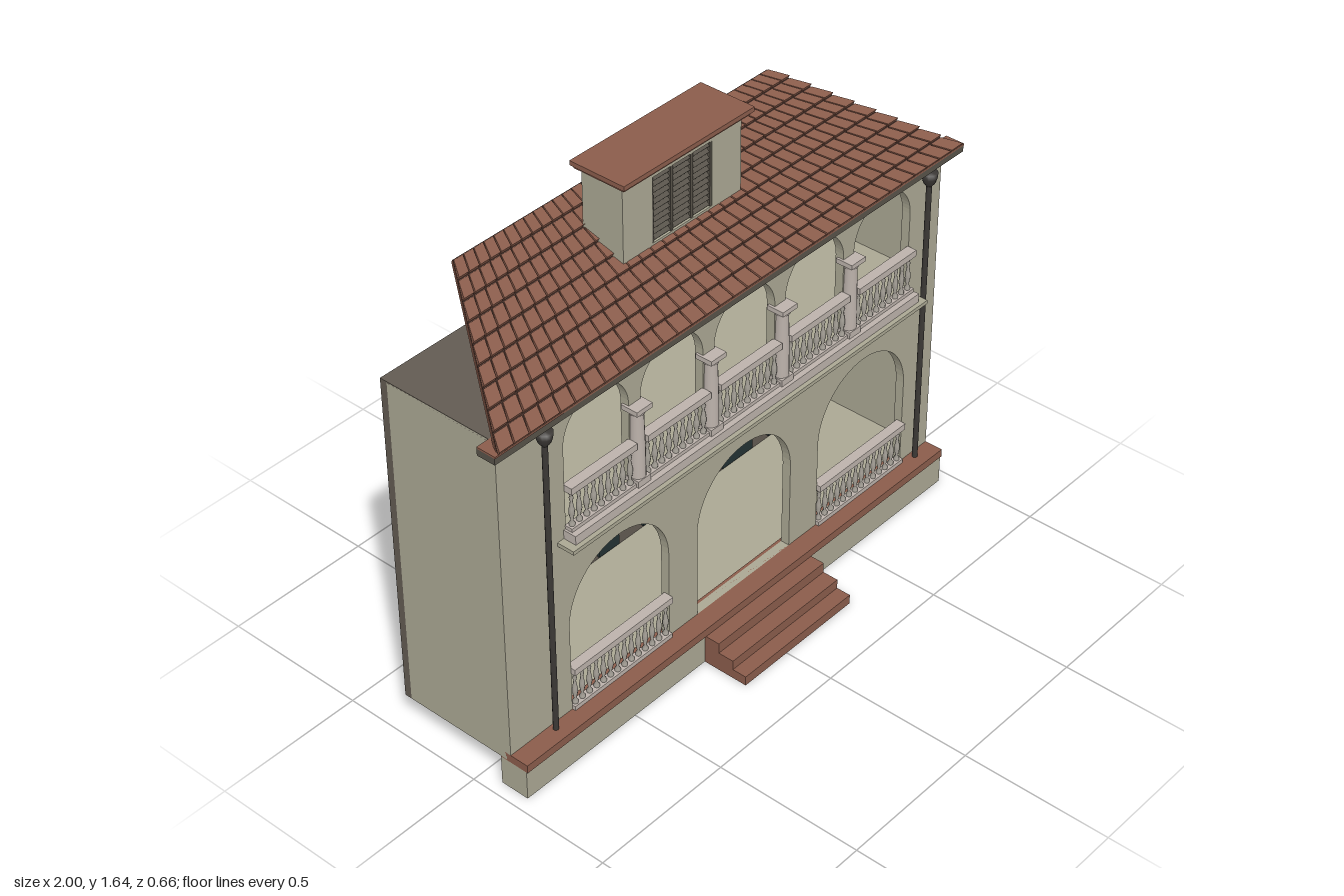
import * as THREE from 'three';
import { mergeGeometries } from 'three/addons/utils/BufferGeometryUtils.js';

const mat = (name, color) => {
  const m = new THREE.MeshStandardMaterial({ color });
  m.name = name;
  return m;
};

export function createModel() {
  const model = new THREE.Group();
  model.name = 'house';
  const stucco = mat('stucco', 0xaaa793);
  const darkWall = mat('shadedWall', 0x625b52);
  const terracotta = mat('terracotta', 0x8a5c4b);
  const gap = mat('tileGap', 0x3f2a23);
  const glass = mat('glass', 0x233133);
  const stone = mat('paleStone', 0xbcb2ab);
  const balusterStone = mat('balusterStone', 0xa5a097);
  const metal = mat('pipeMetal', 0x3b3835);
  const trim = mat('eaveTrim', 0x575249);

  const add = (name, geo, material, parent = model) => {
    const mesh = new THREE.Mesh(geo, material);
    mesh.name = name;
    parent.add(mesh);
    return mesh;
  };
  const group = (name) => {
    const g = new THREE.Group();
    g.name = name;
    model.add(g);
    return g;
  };
  // Box given by its limits on each axis
  const boxGeo = (x0, x1, y0, y1, z0, z1) =>
    new THREE.BoxGeometry(x1 - x0, y1 - y0, z1 - z0)
      .translate((x0 + x1) / 2, (y0 + y1) / 2, (z0 + z1) / 2);
  const box = (name, material, lim, parent) => add(name, boxGeo(...lim), material, parent);
  const rectangle = (x0, x1, y0, y1, C = THREE.Shape) => {
    const s = new C();
    s.moveTo(x0, y0);
    s.lineTo(x1, y0);
    s.lineTo(x1, y1);
    s.lineTo(x0, y1);
    s.closePath();
    return s;
  };
  const archHole = (x0, x1, y0, top) => {
    const r = (x1 - x0) / 2, p = new THREE.Path();
    p.moveTo(x0, y0);
    p.lineTo(x1, y0);
    p.lineTo(x1, top - r);
    p.absarc((x0 + x1) / 2, top - r, r, 0, Math.PI, false);
    p.lineTo(x0, y0);
    return p;
  };

  // Arcaded front wall
  const lowerArches = [[-0.70, -0.28], [-0.155, 0.27], [0.40, 0.82]];
  const columnX = [-0.415, -0.105, 0.207, 0.52];
  const upperEdges = [-0.725, ...columnX, 0.835];
  const facade = rectangle(-0.955, 0.955, 0.105, 1.25);
  lowerArches.forEach(([a, b]) => facade.holes.push(archHole(a, b, 0.13, 0.65)));
  for (let i = 0; i < 5; i++)
    facade.holes.push(archHole(upperEdges[i] + 0.024, upperEdges[i + 1] - 0.024, 0.81, 1.21));
  add('frontWall', new THREE.ExtrudeGeometry(facade, { depth: 0.03, bevelEnabled: false, curveSegments: 14 })
    .translate(0, 0, 0.08), stucco);

  // Shell of the building
  for (const s of [-1, 1])
    add('sideWall', boxGeo(-0.0125, 0.0125, 0.105, 1.25, -0.29, 0.08).translate(s * 0.9425, 0, 0), stucco);
  box('groundFloor', stucco, [-0.93, 0.93, 0.105, 0.125, -0.29, 0.08]);
  box('upperFloor', stucco, [-0.93, 0.93, 0.765, 0.785, -0.29, 0.08]);
  box('ceiling', darkWall, [-0.955, 0.955, 1.243, 1.252, -0.29, 0.11]);
  box('backWall', darkWall, [-0.955, 0.955, 0.105, 1.252, -0.315, -0.29]);

  // Tall windows set through the back wall
  const windows = group('windows');
  const lowerWindows = [[0.64, 0.77], [0.415, 0.56], [0.04, 0.187], [-0.16, -0.07],
    [-0.36, -0.285], [-0.56, -0.412], [-0.69, -0.615]];
  const upperWindows = [[0.545, 0.676], [0.393, 0.482], [0.243, 0.35], [-0.09, 0.05],
    [-0.388, -0.25], [-0.58, -0.446], [-0.687, -0.596]];
  lowerWindows.forEach(([a, b]) => box('lowerWindow', glass, [a, b, 0.135, 0.585, -0.325, -0.282], windows));
  upperWindows.forEach(([a, b]) => box('upperWindow', glass, [a, b, 0.79, 1.12, -0.325, -0.282], windows));

  // Plinth, terrace edge and entrance steps
  for (const [a, b] of [[-0.955, -0.19], [0.30, 0.955]])
    box('plinth', stucco, [a, b, 0, 0.102, 0.07, 0.17]);
  box('terraceEdge', terracotta, [-0.955, 0.955, 0.102, 0.13, 0.07, 0.175]);
  [0.33, 0.28, 0.225].forEach((z, i) =>
    box('step', terracotta, [-0.19, 0.30, i * 0.033, (i + 1) * 0.033 + (i === 2 ? 0.003 : 0), 0.07, z]));

  // Balustrades with turned balusters
  const lathe = (pts, seg) => new THREE.LatheGeometry(pts.map(([r, y]) => new THREE.Vector2(r, y)), seg);
  const balusterProfile = [[0.009, 0], [0.009, 0.012], [0.004, 0.02], [0.009, 0.045], [0.008, 0.06],
    [0.004, 0.085], [0.007, 0.1], [0.004, 0.105], [0.009, 0.115], [0.009, 0.125]];
  const balustrade = (x0, x1, y, z) => {
    const g = group('balustrade');
    box('bottomRail', stone, [x0, x1, y, y + 0.015, z - 0.014, z + 0.014], g);
    box('topRail', stone, [x0, x1, y + 0.135, y + 0.157, z - 0.017, z + 0.017], g);
    const n = Math.round((x1 - x0) / 0.03), parts = [];
    for (let i = 0; i < n; i++)
      parts.push(lathe(balusterProfile, 8).translate(x0 + ((i + 0.5) * (x1 - x0)) / n, y + 0.012, z));
    add('balusters', mergeGeometries(parts), balusterStone, g);
  };
  balustrade(-0.70, -0.28, 0.13, 0.108);
  balustrade(0.40, 0.82, 0.13, 0.108);
  for (let i = 0; i < 5; i++)
    balustrade(upperEdges[i] + 0.022, upperEdges[i + 1] - 0.022, 0.8, 0.122);

  // Balcony ledge
  box('balconyLedge', stucco, [-0.735, 0.84, 0.76, 0.773, 0.1, 0.17]);
  box('balconySlab', stone, [-0.71, 0.815, 0.773, 0.803, 0.1, 0.155]);

  // Upper columns with base and capital
  for (const x of columnX) {
    const g = group('column');
    g.position.set(x, 0, 0.118);
    add('shaft', lathe([[0.024, 0.82], [0.023, 0.93], [0.02, 1.04], [0.024, 1.045], [0.024, 1.052], [0.03, 1.06]], 16), stone, g);
    box('columnBase', stone, [-0.026, 0.026, 0.8, 0.825, -0.026, 0.026], g);
    box('capital', stone, [-0.032, 0.032, 1.057, 1.073, -0.03, 0.03], g);
  }

  // Rainwater pipes with funnel heads
  for (const x of [-0.79, 0.872]) {
    const g = group('downpipe');
    g.position.set(x, 0, 0.13);
    add('pipe', new THREE.CylinderGeometry(0.009, 0.009, 1.04, 10).translate(0, 0.65, 0), metal, g);
    add('funnel', lathe([[0.009, 1.155], [0.019, 1.168], [0.024, 1.185], [0.026, 1.203], [0, 1.203]], 12), metal, g);
  }

  // Eave
  box('eave', trim, [-1, 1, 1.225, 1.247, 0.09, 0.155]);
  box('eaveTop', terracotta, [-1, 1, 1.247, 1.253, 0.09, 0.157]);

  // Sloping roof: u runs -1..1 across, v 0..1 up the slope, h is height above it
  const roofPoint = (u, v, h) => [
    u * (0.99 - 0.335 * v),
    1.25 + 0.225 * v + 0.896 * h,
    0.155 - 0.48 * v + 0.443 * h,
  ];
  const faces = [[0, 1, 3, 2], [4, 6, 7, 5], [0, 4, 5, 1], [2, 3, 7, 6], [0, 2, 6, 4], [1, 5, 7, 3]];
  const slab = (u0, u1, v0, v1, bottom, lowTop, highTop) => {
    const c = [];
    for (const top of [0, 1])
      for (const v of [0, 1])
        for (const u of [u0, u1])
          c.push(roofPoint(u, v ? v1 : v0, top ? (v ? highTop : lowTop) : bottom));
    const pos = [];
    // each quad is listed clockwise, so it is emitted reversed
    for (const [a, b, d, e] of faces)
      for (const k of [a, e, d, a, d, b]) pos.push(...c[k]);
    const geo = new THREE.BufferGeometry();
    geo.setAttribute('position', new THREE.Float32BufferAttribute(pos, 3));
    geo.computeVertexNormals();
    return geo;
  };
  add('roofDeck', slab(-1, 1, 0, 1, -0.012, -0.002, -0.002), terracotta);
  add('tileBed', slab(-0.998, 0.998, 0.002, 0.998, -0.003, 0.001, 0.001), gap);
  const tiles = [], rows = 9, cols = 34;
  for (let r = 0; r < rows; r++)
    for (let c = 0; c < cols; c++) {
      const u = -1 + (2 * c) / cols, v = r / rows;
      tiles.push(slab(u + 0.003, u + 2 / cols - 0.003, v, v + 1 / rows - 0.008, 0, 0.014, 0.004));
    }
  add('roofTiles', mergeGeometries(tiles), terracotta);

  // Louvred dormer, open at the back
  const dormer = group('dormer');
  const front = rectangle(-0.255, 0.24, 1.365, 1.625);
  front.holes.push(rectangle(-0.135, 0.115, 1.375, 1.59, THREE.Path));
  add('dormerFront', new THREE.ExtrudeGeometry(front, { depth: 0.02, bevelEnabled: false })
    .translate(0, 0, -0.09), stucco, dormer);
  for (const x of [-0.255, 0.22])
    box('dormerSide', stucco, [x, x + 0.02, 1.365, 1.625, -0.22, -0.09], dormer);
  box('louvreBacking', trim, [-0.14, 0.12, 1.37, 1.595, -0.096, -0.09], dormer);
  for (let i = 0; i < 11; i++)
    add('louvre', new THREE.BoxGeometry(0.25, 0.004, 0.02).rotateX(0.7)
      .translate(-0.01, 1.385 + i * 0.0195, -0.082), trim, dormer);
  for (const x of [-0.133, -0.052, 0.032, 0.113])
    box('louvreStile', trim, [x - 0.005, x + 0.005, 1.375, 1.59, -0.09, -0.072], dormer);
  box('dormerCap', terracotta, [-0.28, 0.262, 1.63, 1.645, -0.24, -0.04], dormer);
  box('dormerCornice', terracotta, [-0.272, 0.254, 1.62, 1.63, -0.232, -0.048], dormer);

  return model;
}
